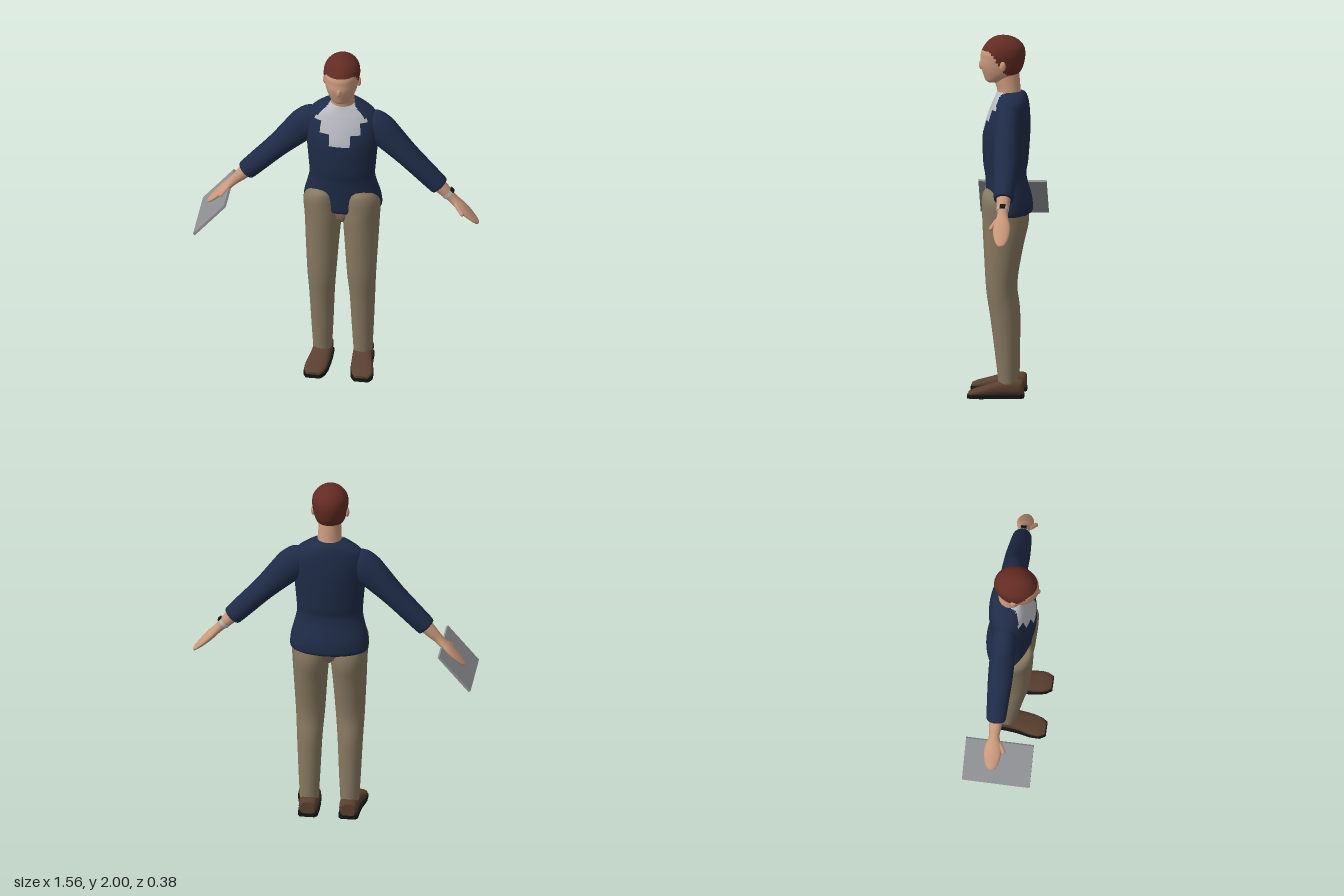
import * as THREE from 'three';

const mat = (name, color) => Object.assign(new THREE.MeshStandardMaterial({ color }), { name });
const M = {
  skin: mat('skin', 0xcb9a7c),
  hair: mat('hair', 0x632c22),
  navy: mat('navy sweater', 0x1f2c48),
  shirt: mat('pale shirt', 0xb8bbc1),
  pants: mat('khaki trousers', 0x877960),
  shoe: mat('brown leather', 0x5a4030),
  sole: mat('black rubber', 0x141414),
  tablet: mat('grey tablet', 0x8f9195),
  silver: mat('silver', 0xb4b6ba),
};

// Catmull-Rom subdivision of section rows
function smoothRows(rows, steps) {
  const out = [], at = i => rows[Math.max(0, Math.min(rows.length - 1, i))];
  for (let i = 0; i < rows.length - 1; i++) {
    for (let k = 0; k < steps; k++) {
      const t = k / steps;
      out.push(rows[i].map((b, c) => {
        const a = at(i - 1)[c], d = at(i + 1)[c], e = at(i + 2)[c];
        return 0.5 * (2 * b + (d - a) * t + (2 * a - 5 * b + 4 * d - e) * t * t + (3 * b - a - 3 * d + e) * t * t * t);
      }));
    }
  }
  out.push(rows[rows.length - 1]);
  return out;
}

// Closed loft; rows are [y, centreX, halfWidth, zFront, zBack] from bottom to top.
// pick(x, y, z) chooses the material of each quad; power < 1 squares the section.
function loft(rows, { steps = 4, seg = 32, power = 1, pick = () => 0 } = {}) {
  const rings = smoothRows(rows, steps), pos = [], buckets = [[], []];
  const sq = v => Math.sign(v) * Math.abs(v) ** power;
  const addRing = ([y, cx, hw, zf, zb]) => {
    for (let i = 0; i < seg; i++) {
      const a = (i / seg) * Math.PI * 2;
      pos.push(cx + hw * sq(Math.sin(a)), y, (zf + zb) / 2 + (zf - zb) / 2 * sq(Math.cos(a)));
    }
  };
  rings.forEach(addRing);
  for (let j = 0; j < rings.length - 1; j++) {
    for (let i = 0; i < seg; i++) {
      const n = (i + 1) % seg;
      const a = j * seg + i, b = j * seg + n, c = b + seg, d = a + seg;
      const mid = k => (pos[a * 3 + k] + pos[b * 3 + k] + pos[c * 3 + k] + pos[d * 3 + k]) / 4;
      buckets[pick(mid(0), mid(1), mid(2))].push(a, b, c, a, c, d);
    }
  }
  // End caps with their own vertices for a crisp rim
  [rings[0], rings[rings.length - 1]].forEach((r, top) => {
    const s = pos.length / 3;
    addRing(r);
    pos.push(r[1], r[0], (r[3] + r[4]) / 2);
    const bucket = buckets[pick(r[1], r[0], (r[3] + r[4]) / 2)];
    for (let i = 0; i < seg; i++) {
      const n = s + (i + 1) % seg;
      if (top) bucket.push(s + i, n, s + seg);
      else bucket.push(n, s + i, s + seg);
    }
  });
  const g = new THREE.BufferGeometry();
  g.setAttribute('position', new THREE.Float32BufferAttribute(pos, 3));
  g.setIndex([...buckets[0], ...buckets[1]]);
  g.addGroup(0, buckets[0].length, 0);
  g.addGroup(buckets[0].length, buckets[1].length, 1);
  g.computeVertexNormals();
  return g;
}

function add(parent, name, geometry, material, x = 0, y = 0, z = 0) {
  const m = new THREE.Mesh(geometry, material);
  m.name = name;
  m.position.set(x, y, z);
  parent.add(m);
  return m;
}

function buildHead(body) {
  const hairline = z => THREE.MathUtils.mapLinear(THREE.MathUtils.clamp(z, -0.02, 0.07), -0.02, 0.07, 1.785, 1.918);
  add(body, 'head', loft([
    [1.738, 0, 0.03, 0.085, 0.02], [1.75, 0, 0.052, 0.1, -0.02], [1.785, 0, 0.076, 0.113, -0.08],
    [1.82, 0, 0.088, 0.124, -0.104], [1.845, 0, 0.093, 0.128, -0.112], [1.875, 0, 0.098, 0.126, -0.118],
    [1.905, 0, 0.1, 0.124, -0.12], [1.94, 0, 0.093, 0.107, -0.112], [1.972, 0, 0.07, 0.08, -0.085],
    [1.993, 0, 0.036, 0.045, -0.045], [2.0, 0, 0.006, 0.012, -0.008],
  ], { seg: 48, steps: 5, pick: (x, y, z) => (y > hairline(z) ? 1 : 0) }), [M.skin, M.hair]);
  add(body, 'nose', new THREE.SphereGeometry(1, 16, 12), M.skin, 0, 1.833, 0.122).scale.set(0.014, 0.026, 0.014);
  for (const s of [-1, 1]) {
    add(body, 'ear', new THREE.SphereGeometry(1, 16, 12), M.skin, s * 0.094, 1.84, -0.002).scale.set(0.012, 0.028, 0.017);
  }
  add(body, 'neck', loft([
    [1.66, 0, 0.07, 0.035, -0.1], [1.7, 0, 0.065, 0.036, -0.094], [1.75, 0, 0.063, 0.05, -0.09], [1.8, 0, 0.062, 0.05, -0.085],
  ]), M.skin);
}

function buildTorso(body) {
  // Stepped shirt front showing at the sweater neck
  const isShirt = (x, y, z) => {
    const w = y > 1.6 ? 0.155 - (y - 1.6) : y > 1.54 ? 0.115 : y > 1.465 ? 0.067 : 0;
    return z > -0.02 && Math.abs(x) < w ? 1 : 0;
  };
  add(body, 'sweater', loft([
    [1.01, 0, 0.195, 0.072, -0.14], [1.03, 0, 0.216, 0.086, -0.16], [1.1, 0, 0.212, 0.092, -0.155],
    [1.22, 0, 0.183, 0.1, -0.125], [1.3, 0, 0.185, 0.112, -0.135], [1.45, 0, 0.198, 0.114, -0.146],
    [1.55, 0, 0.203, 0.09, -0.146], [1.62, 0, 0.182, 0.064, -0.14], [1.66, 0, 0.135, 0.046, -0.131],
    [1.685, 0, 0.078, 0.036, -0.118], [1.69, 0, 0.06, 0.03, -0.1],
  ], { seg: 64, steps: 6, pick: isShirt }), [M.navy, M.shirt]);
  add(body, 'trouserSeat', loft([
    [0.93, 0, 0.02, 0.03, -0.06], [0.965, 0, 0.06, 0.06, -0.1], [1.03, 0, 0.16, 0.075, -0.135],
  ]), M.pants);
}

function buildLeg(body, s) {
  const leg = new THREE.Group();
  leg.name = s > 0 ? 'leftLeg' : 'rightLeg';
  body.add(leg);
  const mirror = rows => rows.map(([y, cx, ...r]) => [y, cx * s, ...r]);
  add(leg, 'trouserLeg', loft(mirror([
    [0.08, 0.112, 0.052, 0.02, -0.08], [0.25, 0.112, 0.061, 0.04, -0.083], [0.45, 0.112, 0.07, 0.066, -0.083],
    [0.6, 0.11, 0.08, 0.088, -0.068], [0.8, 0.108, 0.092, 0.1, -0.1], [0.95, 0.106, 0.101, 0.108, -0.132],
    [1.05, 0.112, 0.101, 0.111, -0.115], [1.1, 0.112, 0.092, 0.112, -0.08], [1.14, 0.108, 0.066, 0.106, -0.03],
    [1.16, 0.104, 0.025, 0.09, 0.02],
  ])), M.pants);
  // Shoe lofted from heel to toe, then laid down
  const shoe = mirror([
    [-0.118, 0.112, 0.036, -0.012, -0.088], [-0.1, 0.112, 0.05, -0.012, -0.1], [-0.03, 0.112, 0.053, -0.012, -0.1],
    [0.03, 0.116, 0.056, -0.012, -0.085], [0.1, 0.126, 0.061, -0.012, -0.062], [0.15, 0.132, 0.056, -0.012, -0.048],
    [0.183, 0.134, 0.036, -0.012, -0.034],
  ]);
  add(leg, 'shoe', loft(shoe, { power: 0.75 }).rotateX(Math.PI / 2), M.shoe);
  const edge = k => shoe.map(([z, cx, hw]) => new THREE.Vector2(cx + k * (hw + 0.004), z * 1.03));
  const outline = new THREE.Shape([...edge(1), ...edge(-1).reverse()]);
  add(leg, 'sole', new THREE.ExtrudeGeometry(outline, { depth: 0.02, bevelEnabled: false }).rotateX(Math.PI / 2), M.sole, 0, 0.02, 0);
}

function buildArm(body, s) {
  const arm = new THREE.Group();
  arm.name = s > 0 ? 'leftArm' : 'rightArm';
  arm.position.set(s * 0.185, 1.544, -0.038);
  arm.rotation.z = s * 0.766;
  body.add(arm);
  // Rows are [distance down the arm, halfWidth, halfDepth]
  const limb = rows => loft(rows.map(([t, w, d]) => [-t, 0, w, d, -d]).reverse());
  add(arm, 'sleeve', limb([
    [-0.092, 0.012, 0.012], [-0.08, 0.04, 0.035], [-0.04, 0.076, 0.06], [0.03, 0.09, 0.07], [0.1, 0.084, 0.07],
    [0.25, 0.066, 0.068], [0.4, 0.06, 0.06], [0.495, 0.056, 0.054], [0.507, 0.05, 0.048],
  ]), M.navy);
  add(arm, 'hand', limb([
    [0.48, 0.042, 0.042], [0.55, 0.034, 0.035], [0.6, 0.027, 0.029], [0.64, 0.024, 0.036], [0.68, 0.024, 0.046],
    [0.73, 0.02, 0.046], [0.78, 0.014, 0.035], [0.81, 0.009, 0.02], [0.818, 0.003, 0.006],
  ]), M.skin);
  const thumb = add(arm, 'thumb', new THREE.CapsuleGeometry(0.012, 0.06, 6, 12), M.skin, 0, -0.672, 0.045);
  thumb.rotation.x = -0.5;
  if (s > 0) {
    add(arm, 'watchStrap', new THREE.CylinderGeometry(0.035, 0.033, 0.02, 32), M.silver, 0, -0.572, 0);
    add(arm, 'watchFace', new THREE.BoxGeometry(0.008, 0.024, 0.03), M.sole, 0.035, -0.572, 0);
  }
}

export function createModel() {
  const root = new THREE.Group();
  root.name = 'standingMan';
  const body = new THREE.Group();
  body.name = 'body';
  body.position.x = 0.024;
  root.add(body);
  buildHead(body);
  buildTorso(body);
  for (const s of [-1, 1]) {
    buildLeg(body, s);
    buildArm(body, s);
  }
  // Tablet held in the right hand
  const tablet = add(root, 'tablet', new THREE.BoxGeometry(0.014, 0.265, 0.375), M.tablet, -0.685, 0.972, -0.004);
  tablet.rotation.z = -0.707;
  return root;
}
